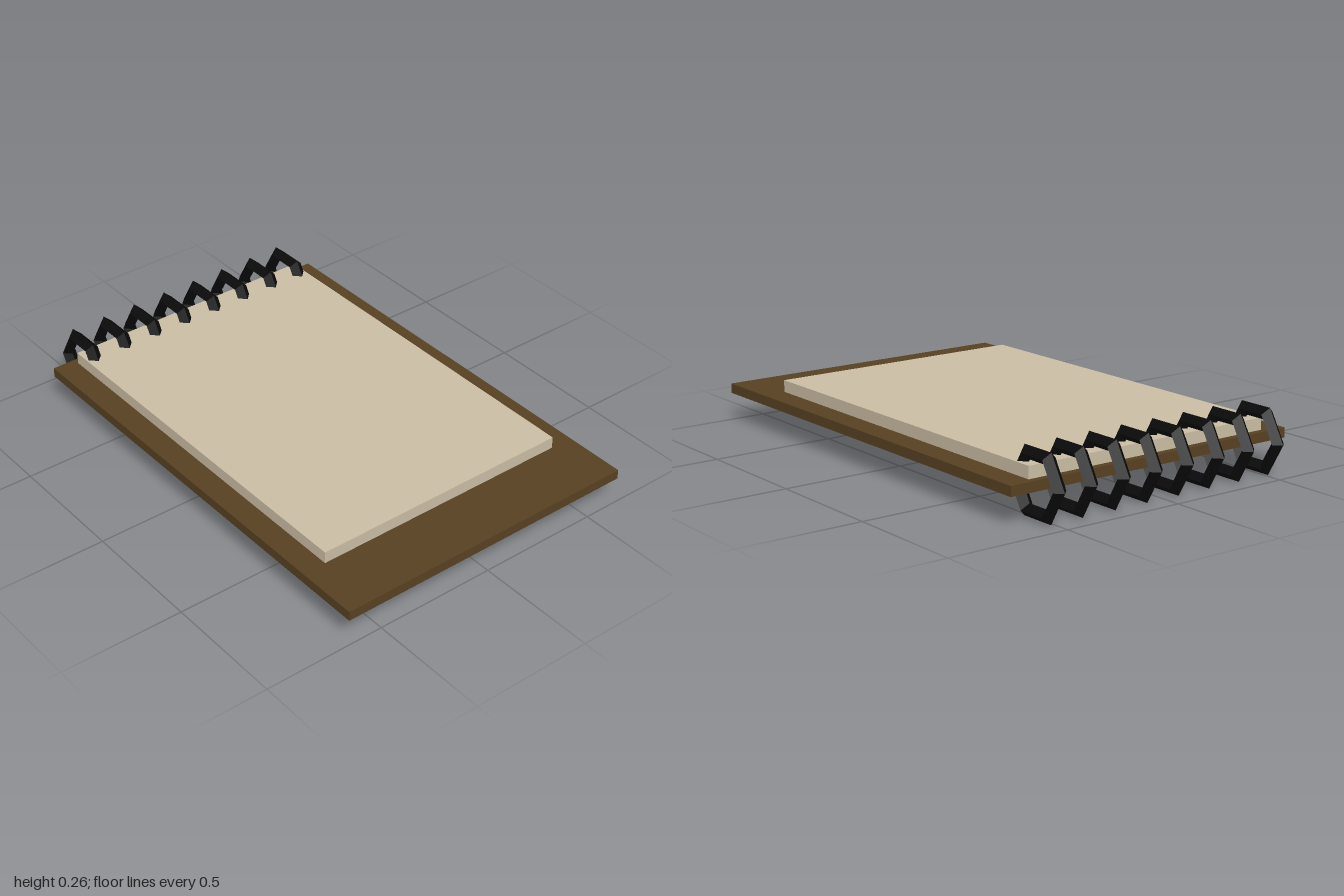
import * as THREE from 'three';

export function createModel() {
  const model = new THREE.Group();
  model.name = 'spiralNotebook';

  const material = (name, color) => {
    const m = new THREE.MeshStandardMaterial({ color });
    m.name = name;
    return m;
  };
  const brown = material('coverBrown', 0x574022);
  const cream = material('paperCream', 0xcabda3);
  const black = material('ringBlack', 0x0a0a0a);
  black.flatShading = true;

  // Box given by its min and max corners
  const slab = (name, mat, [x0, y0, z0], [x1, y1, z1]) => {
    const mesh = new THREE.Mesh(new THREE.BoxGeometry(x1 - x0, y1 - y0, z1 - z0), mat);
    mesh.position.set((x0 + x1) / 2, (y0 + y1) / 2, (z0 + z1) / 2);
    mesh.name = name;
    model.add(mesh);
  };
  slab('backCover', brown, [-0.873, 0.111, -0.645], [1, 0.15, 0.645]);
  slab('pages', cream, [-0.845, 0.15, -0.548], [0.745, 0.198, 0.548]);

  // Hexagonal binding rings with a diamond section
  const rings = new THREE.Group();
  rings.name = 'bindingRings';
  const ringGeometry = new THREE.TorusGeometry(0.119, 0.029, 4, 6);
  [0.512, 0.364, 0.217, 0.069, -0.079, -0.226, -0.373, -0.513].forEach((z, i) => {
    const ring = new THREE.Mesh(ringGeometry, black);
    ring.name = `bindingRing${i + 1}`;
    ring.position.set(-0.852, 0.128, z);
    rings.add(ring);
  });
  model.add(rings);
  return model;
}
